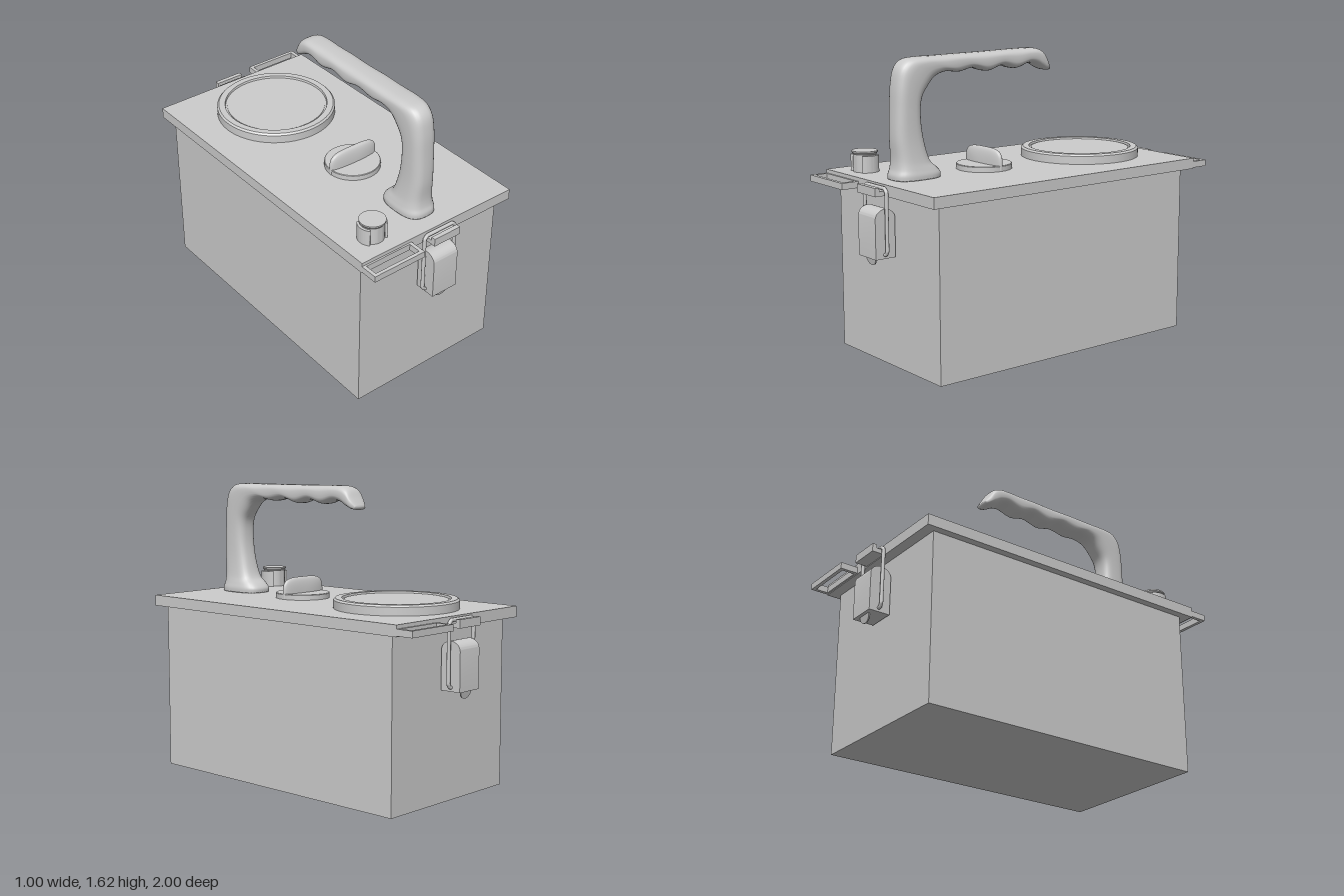
import * as THREE from 'three';
import { toCreasedNormals } from 'three/addons/utils/BufferGeometryUtils.js';

const material = new THREE.MeshStandardMaterial({ color: 0xcccccc });

function add(parent, name, geometry, x = 0, y = 0, z = 0) {
  const mesh = new THREE.Mesh(geometry, material);
  mesh.name = name;
  mesh.position.set(x, y, z);
  parent.add(mesh);
  return mesh;
}

// Box given by its limits
function addBox(parent, name, x0, x1, y0, y1, z0, z1) {
  return add(parent, name, new THREE.BoxGeometry(x1 - x0, y1 - y0, z1 - z0),
    (x0 + x1) / 2, (y0 + y1) / 2, (z0 + z1) / 2);
}

function lathe(points, segments = 64) {
  const profile = points.map(([r, y]) => new THREE.Vector2(r, y));
  return toCreasedNormals(new THREE.LatheGeometry(profile, segments), 0.5);
}

// Handle: rounded sections spanning an outer and an inner outline
function handleGeometry() {
  // outer z, outer y, inner z, inner y, half width
  const sections = [
    [0.81, 0.985, 0.53, 0.985, 0.097], [0.81, 1.01, 0.53, 1.01, 0.097],
    [0.8, 1.04, 0.55, 1.035, 0.09], [0.795, 1.09, 0.59, 1.07, 0.08],
    [0.802, 1.2, 0.625, 1.17, 0.07], [0.798, 1.35, 0.645, 1.3, 0.068],
    [0.79, 1.48, 0.638, 1.4, 0.07], [0.77, 1.565, 0.6, 1.46, 0.072],
    [0.73, 1.603, 0.55, 1.51, 0.073], [0.66, 1.614, 0.48, 1.53, 0.073],
    [0.54, 1.615, 0.4, 1.522, 0.073], [0.4, 1.616, 0.305, 1.538, 0.072],
    [0.26, 1.617, 0.21, 1.514, 0.072], [0.13, 1.618, 0.115, 1.538, 0.071],
    [0.02, 1.62, 0.02, 1.516, 0.071], [-0.07, 1.62, -0.07, 1.54, 0.07],
    [-0.13, 1.617, -0.12, 1.53, 0.069], [-0.168, 1.6, -0.16, 1.508, 0.067],
    [-0.198, 1.555, -0.192, 1.495, 0.06], [-0.227, 1.51, -0.215, 1.492, 0.04],
  ];
  const outer = new THREE.CatmullRomCurve3(sections.map((s) => new THREE.Vector3(0, s[1], s[0])));
  const inner = new THREE.CatmullRomCurve3(sections.map((s) => new THREE.Vector3(s[4], s[3], s[2])));
  const rings = 96, sides = 32, positions = [], index = [];
  const round = (v) => Math.sign(v) * Math.abs(v) ** 0.7;
  // first and last rings shrink to a point to close the ends
  for (let i = -1; i <= rings + 1; i++) {
    const t = THREE.MathUtils.clamp(i / rings, 0, 1);
    const size = i < 0 || i > rings ? 0 : 1;
    const o = outer.getPoint(t), n = inner.getPoint(t);
    for (let j = 0; j < sides; j++) {
      const a = (j / sides) * Math.PI * 2;
      const k = 0.5 + 0.5 * round(Math.cos(a)) * size;
      positions.push(n.x * round(Math.sin(a)) * size, n.y + (o.y - n.y) * k, n.z + (o.z - n.z) * k);
    }
  }
  for (let i = 0; i < rings + 2; i++) {
    for (let j = 0; j < sides; j++) {
      const a = i * sides + j, b = i * sides + (j + 1) % sides;
      index.push(a, b, b + sides, a, b + sides, a + sides);
    }
  }
  const geometry = new THREE.BufferGeometry();
  geometry.setAttribute('position', new THREE.Float32BufferAttribute(positions, 3));
  geometry.setIndex(index);
  geometry.computeVertexNormals();
  return geometry;
}

// Knob grip: a flattened sphere squared off in its long plane
function gripGeometry() {
  const geometry = new THREE.SphereGeometry(1, 48, 32);
  const p = geometry.attributes.position;
  for (let i = 0; i < p.count; i++) {
    const x = p.getX(i), y = p.getY(i), z = p.getZ(i);
    const k = Math.hypot(x, y) / ((x ** 4 + y ** 4) ** 0.25 || 1);
    p.setXYZ(i, 0.155 * x * k, 0.1 * y * k, 0.028 * Math.sign(z) * Math.abs(z) ** 0.75);
  }
  geometry.computeVertexNormals();
  return geometry;
}

// Flat strap loop lying beside the lid's front edge
function strapLoopGeometry() {
  const shape = new THREE.Shape([[-0.5, -1], [-0.18, -1], [-0.18, -0.89], [-0.5, -0.89]]
    .map((p) => new THREE.Vector2(...p)));
  shape.holes.push(new THREE.Path([[-0.48, -0.98], [-0.48, -0.91], [-0.2, -0.91], [-0.2, -0.98]]
    .map((p) => new THREE.Vector2(...p))));
  return new THREE.ExtrudeGeometry(shape, { depth: 0.035, bevelEnabled: false }).rotateX(-Math.PI / 2);
}

function createLatch() {
  const latch = new THREE.Group();

  // lever housing with an arched top
  const side = new THREE.Shape();
  side.moveTo(-0.968, 0.6);
  side.lineTo(-0.848, 0.6);
  side.lineTo(-0.848, 0.81);
  side.absellipse(-0.908, 0.81, 0.06, 0.05, 0, Math.PI, false);
  const housing = new THREE.ExtrudeGeometry(side, { depth: 0.16, bevelEnabled: false, curveSegments: 20 })
    .translate(0, 0, -0.08).rotateY(Math.PI / 2);
  add(latch, 'latchLever', toCreasedNormals(housing, 0.5));
  addBox(latch, 'latchMount', -0.06, 0.06, 0.62, 0.8, 0.835, 0.855);

  // curled finger tab under the lever
  const tab = new THREE.CylinderGeometry(0.042, 0.042, 0.008, 32).rotateX(Math.PI / 2).scale(1, 0.9, 1);
  add(latch, 'latchTab', tab, 0, 0.595, 0.945).rotation.x = 0.2;

  // wire bail over the catch
  const bail = new THREE.CurvePath();
  const points = [[-0.07, 0.622], [-0.09, 0.622], [-0.102, 0.64], [-0.102, 0.95], [-0.085, 0.968],
    [0.085, 0.968], [0.102, 0.95], [0.102, 0.64], [0.09, 0.622], [0.07, 0.622]]
    .map(([x, y]) => new THREE.Vector3(x, y, 0.912));
  for (let i = 1; i < points.length; i++) bail.add(new THREE.LineCurve3(points[i - 1], points[i]));
  add(latch, 'latchWire', new THREE.TubeGeometry(bail, 120, 0.01, 10));

  // catch plate with an upturned lip
  addBox(latch, 'catchPlate', -0.085, 0.085, 0.93, 0.955, 0.89, 0.968);
  addBox(latch, 'catchLip', -0.085, 0.085, 0.955, 0.975, 0.943, 0.968);
  return latch;
}

export function createModel() {
  const model = new THREE.Group();
  model.name = 'caseWithHandle';

  addBox(model, 'body', -0.458, 0.458, 0, 0.93, -0.84, 0.84);
  addBox(model, 'lid', -0.5, 0.5, 0.925, 0.985, -0.9, 0.9);

  // strap loops and latches, turned half round for the back
  for (const end of ['front', 'back']) {
    const group = new THREE.Group();
    group.name = end + 'Fittings';
    add(group, 'strapLoop', strapLoopGeometry(), 0, 0.93, 0).rotation.y = 0;
    const latch = createLatch();
    latch.name = 'latch';
    group.add(latch);
    if (end === 'back') group.rotation.y = Math.PI;
    model.add(group);
  }

  add(model, 'handle', handleGeometry());

  // round dial with a raised rim
  add(model, 'dial', lathe([[0.335, 0.98], [0.335, 1.03], [0.325, 1.04], [0.29, 1.04],
    [0.287, 1.028], [0.278, 1.028], [0.278, 1.032], [0, 1.032]], 96), 0, 0, -0.48);

  // turning knob
  add(model, 'knobBase', lathe([[0.152, 0.98], [0.152, 1.012], [0.149, 1.015], [0, 1.015]]), 0, 0, 0.21);
  add(model, 'knobGrip', gripGeometry(), 0, 1.003, 0.21);

  // corner post between two curved guards
  const post = new THREE.Group();
  post.name = 'cornerPost';
  post.position.set(-0.325, 0, 0.765);
  model.add(post);
  add(post, 'plug', lathe([[0.063, 0.98], [0.063, 1.08], [0.07, 1.09], [0.07, 1.098], [0, 1.098]], 40));
  const guard = new THREE.Shape();
  guard.absarc(0, 0, 0.078, -0.75, 0.75, false);
  guard.absarc(0, 0, 0.064, 0.75, -0.75, true);
  for (const turn of [0, Math.PI]) {
    const geometry = new THREE.ExtrudeGeometry(guard, { depth: 0.095, bevelEnabled: false, curveSegments: 16 })
      .rotateX(-Math.PI / 2);
    add(post, 'postGuard', toCreasedNormals(geometry, 0.5), 0, 0.98, 0).rotation.y = turn;
  }
  return model;
}
